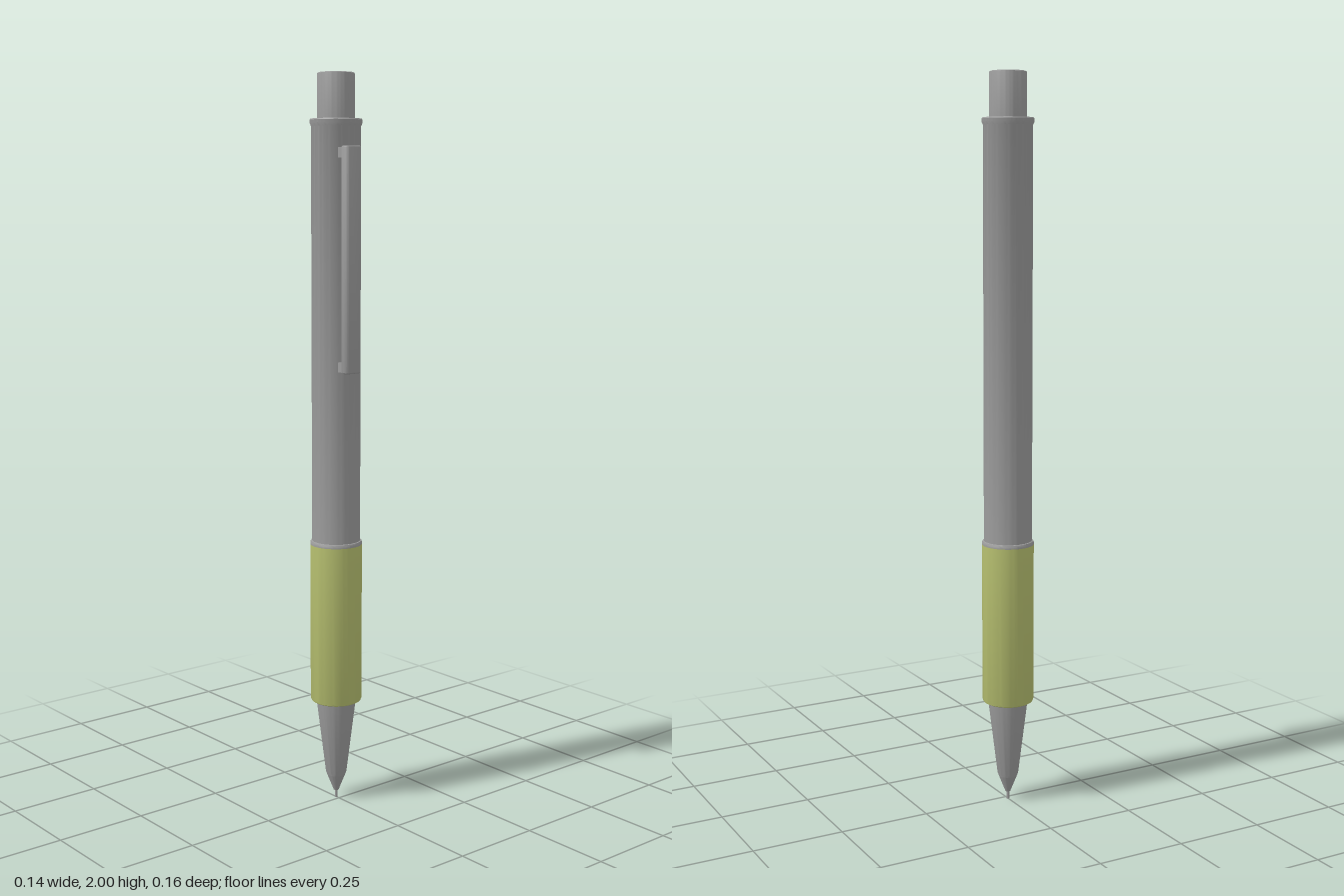
import * as THREE from 'three';
import { toCreasedNormals } from 'three/addons/utils/BufferGeometryUtils.js';

const AXIS_Z = -0.012;

export function createModel() {
  const model = new THREE.Group();
  model.name = 'mechanicalPencil';

  const grey = new THREE.MeshStandardMaterial({ color: 0x9c9c9c });
  grey.name = 'grey metal';
  const green = new THREE.MeshStandardMaterial({ color: 0xb7c070 });
  green.name = 'olive green rubber';

  const add = (name, geometry, material, x = 0, y = 0, z = AXIS_Z) => {
    const mesh = new THREE.Mesh(geometry, material);
    mesh.name = name;
    mesh.position.set(x, y, z);
    model.add(mesh);
  };

  // Turned part from [radius, height] pairs, listed bottom to top
  const turned = (name, points, material) => {
    const profile = points.map(([r, y]) => new THREE.Vector2(r, y));
    add(name, toCreasedNormals(new THREE.LatheGeometry(profile, 64), 0.5), material);
  };

  // Lead, tip and tapered nose
  turned('lead', [[0, 0], [0.004, 0], [0.004, 0.04]], grey);
  turned('tip', [[0, 0.022], [0.007, 0.022], [0.026, 0.07]], grey);
  turned('nose', [[0.026, 0.07], [0.029, 0.078], [0.055, 0.29]], grey);

  // Rubber grip with a rounded lower edge, and the collar above it
  turned('grip', [[0.05, 0.288], [0.064, 0.288], [0.069, 0.291], [0.071, 0.297], [0.071, 0.736]], green);
  turned('collar', [[0.071, 0.736], [0.071, 0.742], [0.069, 0.746], [0.066, 0.747]], grey);

  // Barrel with a flared rim
  turned('barrel', [[0.066, 0.74], [0.066, 1.862], [0.07, 1.87], [0.07, 1.878], [0.068, 1.881], [0.049, 1.881]], grey);

  // Push button with a softened top edge
  turned('button', [[0.05, 1.875], [0.05, 1.994], [0.049, 1.998], [0.046, 2], [0, 2]], grey);

  // Clip bar: front corners rounded, cross-section swept along the barrel
  const w = 0.027, r = 0.012, front = 0.08, back = 0.059;
  const section = new THREE.Shape();
  section.moveTo(-w, -back);
  section.lineTo(-w, -front + r);
  section.quadraticCurveTo(-w, -front, -w + r, -front);
  section.lineTo(w - r, -front);
  section.quadraticCurveTo(w, -front, w, -front + r);
  section.lineTo(w, -back);
  section.closePath();
  const bevel = 0.004;
  const bar = new THREE.ExtrudeGeometry(section, {
    depth: 0.595 - 2 * bevel, bevelEnabled: true, bevelThickness: bevel,
    bevelSize: bevel, bevelOffset: -bevel, bevelSegments: 3, curveSegments: 8,
  });
  bar.rotateX(-Math.PI / 2);
  add('clipBar', toCreasedNormals(bar, 0.6), grey, -0.013, 1.215 + bevel, 0);

  // Feet joining the clip to the barrel
  for (const [name, y] of [['clipUpperFoot', 1.793], ['clipLowerFoot', 1.231]]) {
    add(name, new THREE.BoxGeometry(0.05, 0.026, 0.03), grey, -0.013, y, 0.053);
  }

  return model;
}
